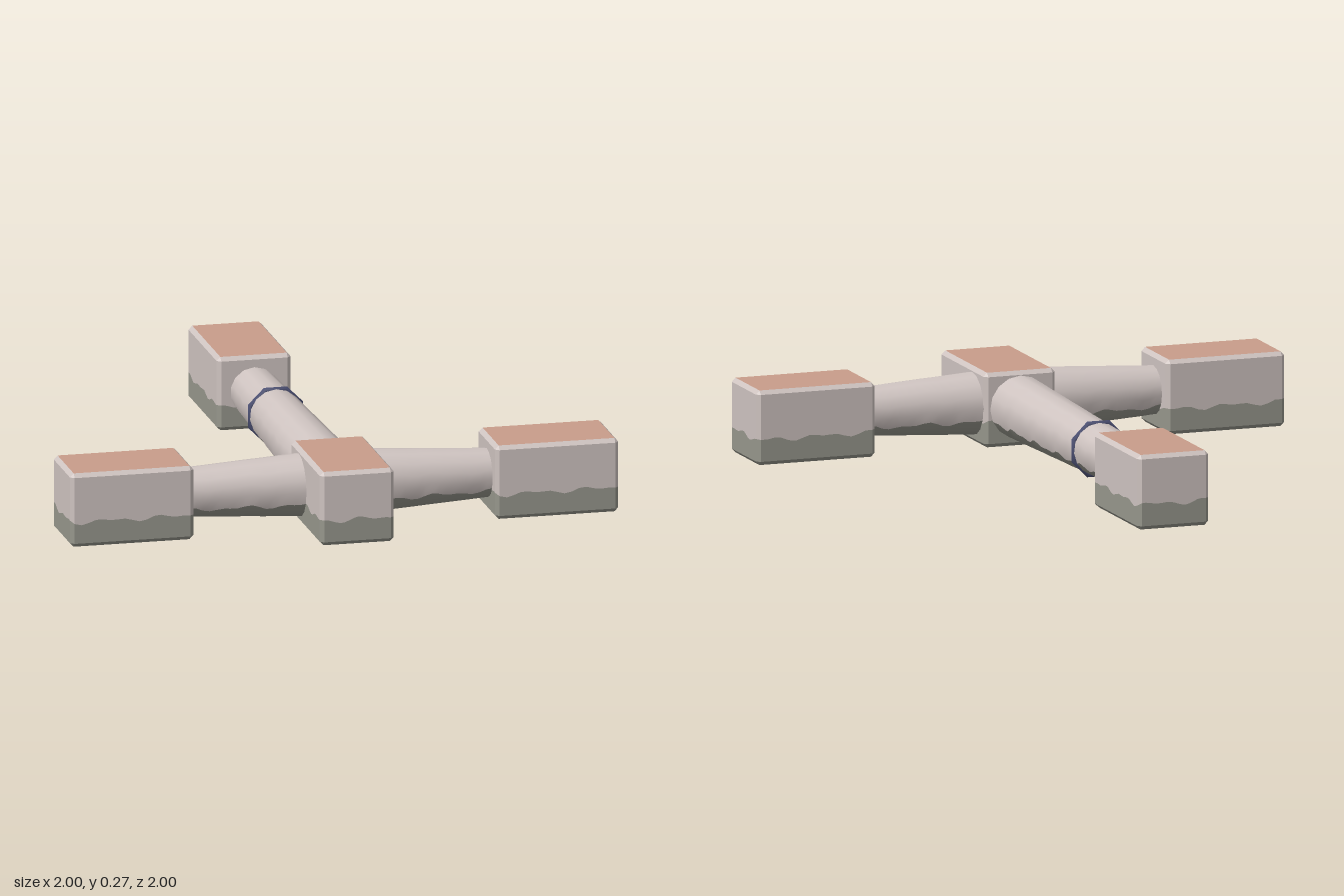
import * as THREE from 'three';

const flat = (name, color) => new THREE.MeshStandardMaterial({ name, color });

const LONG = 0.45, WIDE = 0.27, HIGH = 0.27, BEVEL = 0.014;
const AXIS_Y = 0.14, CROSS_Z = 0.675;

// Wavy upper edge of the stained lower band
const stainLine = (s) => 0.092 + 0.006 * Math.sin(s * 31) + 0.005 * Math.sin(s * 57 + 1.3);

// Surface through rows of points, all with the same count
function loft(rows) {
  const n = rows[0].length, index = [];
  for (let i = 0; i < rows.length - 1; i++) {
    for (let j = 0; j < n - 1; j++) {
      const a = i * n + j, c = a + n;
      index.push(a, a + 1, c, a + 1, c + 1, c);
    }
  }
  const geo = new THREE.BufferGeometry();
  geo.setAttribute('position', new THREE.Float32BufferAttribute(rows.flat(2), 3));
  geo.setIndex(index);
  geo.computeVertexNormals();
  return geo;
}

// Rectangle with bevelled corners, shrunk by d, with sides cut into short steps
function outline(w, l, d, heightAt) {
  const a = w / 2, b = l / 2, c = BEVEL;
  const corners = [
    [a - d, b - c], [a - d, c - b], [a - c, d - b], [c - a, d - b],
    [d - a, c - b], [d - a, b - c], [c - a, b - d], [a - c, b - d],
  ];
  const row = [];
  corners.forEach(([x, z], i) => {
    const [x2, z2] = corners[(i + 1) % 8];
    const steps = i % 2 ? 1 : 16;
    for (let k = 0; k < steps; k++) {
      const px = x + (x2 - x) * k / steps, pz = z + (z2 - z) * k / steps;
      row.push([px, heightAt(px, pz), pz]);
    }
  });
  row.push(row[0]);
  return row;
}

export function createModel() {
  const wall = flat('pale wall', 0xcfc4c1);
  const stain = flat('grey stain', 0x97978d);
  const clay = flat('clay panel', 0xc99d8a);
  const navy = flat('navy ring', 0x4c5074);

  const model = new THREE.Group();
  const add = (parent, name, geo, mat) => {
    const mesh = new THREE.Mesh(geo, mat);
    mesh.name = name;
    parent.add(mesh);
    return mesh;
  };

  // Bevelled room with stained foot and clay top and bottom
  function room(name, x, z, w, l) {
    const g = new THREE.Group();
    g.name = name;
    g.position.set(x, 0, z);
    const level = (y, d) => outline(w, l, d, () => y);
    const wave = outline(w, l, 0, (px, pz) => stainLine(px + pz));
    const foot = loft([level(0, BEVEL), level(BEVEL, 0), wave]).toNonIndexed();
    const walls = loft([wave, level(HIGH - BEVEL, 0), level(HIGH, BEVEL)]).toNonIndexed();
    foot.computeVertexNormals();
    walls.computeVertexNormals();
    add(g, 'stainedFoot', foot, stain);
    add(g, 'walls', walls, wall);
    const panel = new THREE.PlaneGeometry(w - 2 * BEVEL, l - 2 * BEVEL);
    const top = add(g, 'topPanel', panel, clay);
    top.rotation.x = -Math.PI / 2;
    top.position.y = HIGH;
    add(g, 'bottomPanel', panel, clay).rotation.x = Math.PI / 2;
    model.add(g);
  }

  // Tapered passage running along local +z, stained below the wavy line
  function passage(name, x, z, turn, length, r0, r1) {
    const g = new THREE.Group();
    g.name = name;
    g.position.set(x, AXIS_Y, z);
    g.rotation.y = turn;
    const steps = Math.round(length / 0.025);
    const upper = [], lower = [];
    for (let i = 0; i <= steps; i++) {
      const s = length * i / steps, r = r0 + (r1 - r0) * i / steps;
      const edge = Math.asin((stainLine(s) - AXIS_Y) / r);
      const arc = (from, to, n) => Array.from({ length: n + 1 }, (_, k) => {
        const t = from + (to - from) * k / n;
        return [r * Math.cos(t), r * Math.sin(t), s];
      });
      upper.push(arc(edge, Math.PI - edge, 10));
      lower.push(arc(Math.PI - edge, 2 * Math.PI + edge, 6));
    }
    add(g, 'upperShell', loft(upper), wall);
    add(g, 'stainedUnderside', loft(lower), stain);
    model.add(g);
  }

  const end = 1 - LONG / 2;
  room('frontRoom', 0, end, WIDE, LONG);
  room('backRoom', 0, -end, WIDE, LONG);
  passage('backPassage', 0, 0.6, Math.PI, 1.2, 0.115, 0.087);

  for (const side of [1, -1]) {
    const label = side > 0 ? 'left' : 'right';
    room(label + 'Room', side * end, CROSS_Z, LONG, WIDE);
    passage(label + 'Passage', side * 0.1, CROSS_Z, side * Math.PI / 2, 0.48, 0.115, 0.086);
  }

  // Eight-sided collar around the back passage
  const ring = add(model, 'collarRing', new THREE.TorusGeometry(0.097, 0.012, 6, 8), navy);
  ring.position.set(0, AXIS_Y, -0.235);
  ring.rotation.z = Math.PI / 8;

  return model;
}
